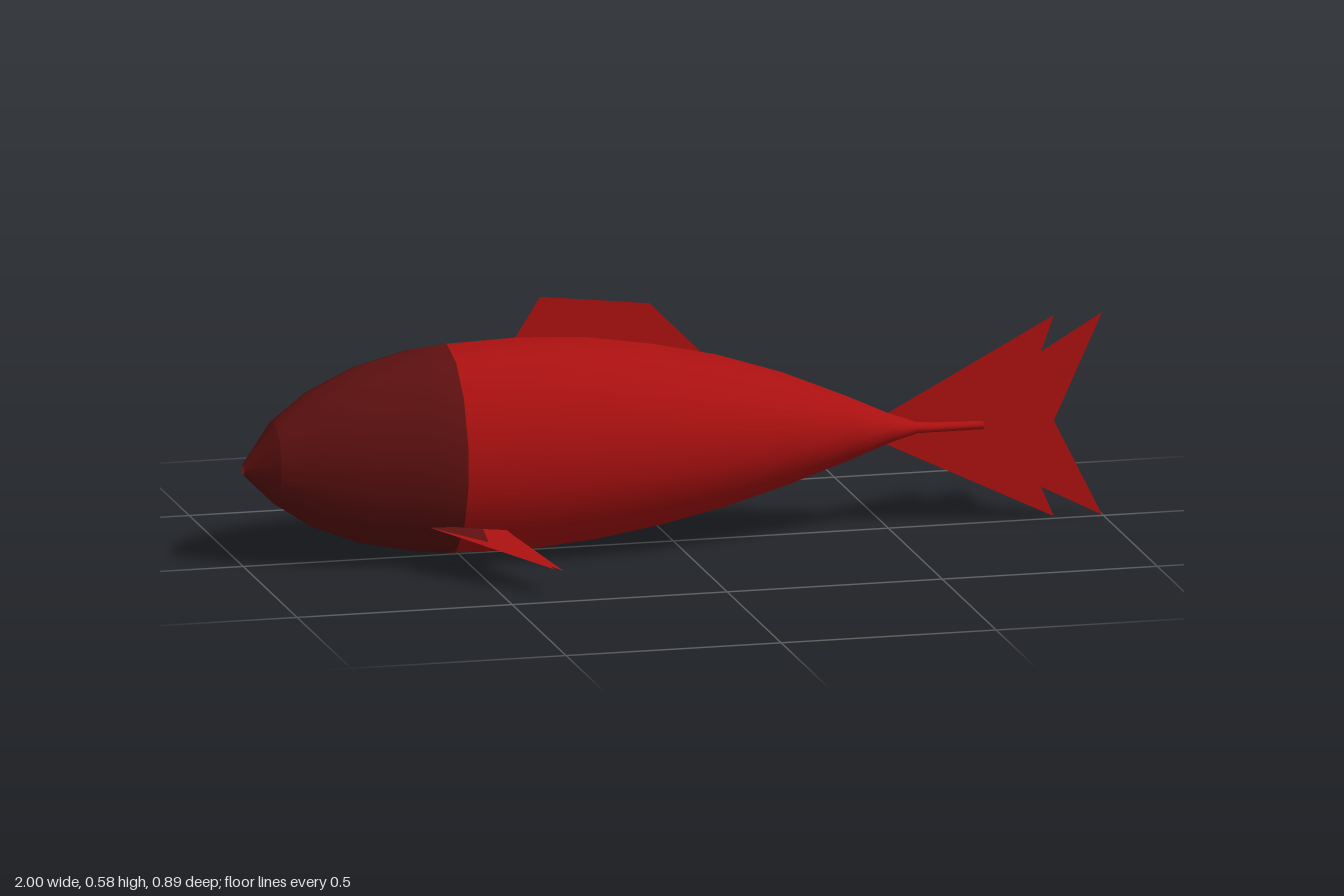
import * as THREE from 'three';

const SIDES = 14;

// Skin through oval rings [x, top, bottom, halfWidth], running from nose to tail.
function loft(rings) {
  const pos = [], idx = [];
  for (const [x, top, bottom, w] of rings) {
    for (let j = 0; j < SIDES; j++) {
      const t = (j / SIDES) * Math.PI * 2;
      pos.push(x, (top + bottom) / 2 + ((top - bottom) / 2) * Math.cos(t), w * Math.sin(t));
    }
  }
  for (let i = 0; i < rings.length - 1; i++) {
    for (let j = 0; j < SIDES; j++) {
      const a = i * SIDES + j, b = i * SIDES + ((j + 1) % SIDES);
      idx.push(a, b, a + SIDES, b, b + SIDES, a + SIDES);
    }
  }
  const geo = new THREE.BufferGeometry();
  geo.setAttribute('position', new THREE.Float32BufferAttribute(pos, 3));
  geo.setIndex(idx);
  geo.computeVertexNormals();
  return geo;
}

// Flat sheet from an outline of [x, y] points.
function sheet(points) {
  return new THREE.ShapeGeometry(new THREE.Shape(points.map(([x, y]) => new THREE.Vector2(x, y))));
}

// Side fin sheet: outline in x and outward z, laid on a gently drooping plane.
function sideSheet(points, side) {
  const geo = sheet(points);
  const p = geo.attributes.position;
  for (let i = 0; i < p.count; i++) {
    const x = p.getX(i), z = p.getY(i);
    p.setXYZ(i, x, 0.11 - 0.125 * (x + 0.6) - 0.085 * (z - 0.19), z * side);
  }
  // keep the front of each sheet facing up
  if (side > 0) {
    const ix = geo.index;
    for (let i = 0; i < ix.count; i += 3) {
      const a = ix.getX(i);
      ix.setX(i, ix.getX(i + 1));
      ix.setX(i + 1, a);
    }
  }
  geo.computeVertexNormals();
  return geo;
}

export function createModel() {
  const group = new THREE.Group();
  const material = (name, color, side = THREE.FrontSide) => {
    const m = new THREE.MeshStandardMaterial({ color, side });
    m.name = name;
    return m;
  };
  const red = material('scale red', 0xaa1010, THREE.DoubleSide);
  const dark = material('head dark red', 0x5e1010, THREE.DoubleSide);
  const add = (name, geo, mat) => {
    const mesh = new THREE.Mesh(geo, mat);
    mesh.name = name;
    group.add(mesh);
  };

  // Nose, with a hard edge where it meets the head
  const noseRing = [-0.93, 0.335, 0.145, 0.078];
  add('nose', loft([[-1, 0.24, 0.215, 0.012], noseRing]), dark);

  // Head and body share one smooth skin
  const rings = [
    noseRing,
    [-0.84, 0.402, 0.085, 0.123],
    [-0.73, 0.452, 0.042, 0.164],
    [-0.6, 0.485, 0.014, 0.195],
    [-0.527, 0.492, 0.007, 0.206],
    [-0.36, 0.497, 0.003, 0.214],
    [-0.2, 0.488, 0.018, 0.209],
    [-0.05, 0.464, 0.043, 0.195],
    [0.1, 0.43, 0.076, 0.169],
    [0.25, 0.381, 0.118, 0.13],
    [0.4, 0.317, 0.167, 0.08],
    [0.5, 0.27, 0.203, 0.044],
    [0.565, 0.246, 0.22, 0.019],
    [0.6, 0.243, 0.22, 0.015],
    [0.72, 0.239, 0.22, 0.01],
  ];
  const body = loft(rings);
  const headCount = 4 * SIDES * 6;
  body.addGroup(0, headCount, 0);
  body.addGroup(headCount, body.index.count - headCount, 1);
  add('body', body, [dark, red]);

  // Back fin
  add('backFin', sheet([[-0.4, 0.44], [0.1, 0.38], [0.07, 0.432], [-0.055, 0.558], [-0.31, 0.588], [-0.37, 0.493]]), red);

  // Forked tail fin
  add('tailFin', sheet([
    [0.46, 0.25], [0.46, 0.215], [0.885, 0.008], [0.855, 0.078], [0.997, 0.005],
    [0.885, 0.23], [0.997, 0.475], [0.855, 0.392], [0.885, 0.475],
  ]), red);

  // Side fins with a dark patch at the root
  for (const side of [1, -1]) {
    const name = side > 0 ? 'front' : 'rear';
    add(name + 'SideFin', sideSheet([
      [-0.61, 0.18], [-0.385, 0.435], [-0.388, 0.412], [-0.365, 0.443],
      [-0.42, 0.2], [-0.43, 0.14], [-0.48, 0.14], [-0.495, 0.26],
    ], side), red);
    add(name + 'SideFinRoot', sideSheet([[-0.61, 0.18], [-0.495, 0.26], [-0.48, 0.14]], side), dark);
  }
  return group;
}
